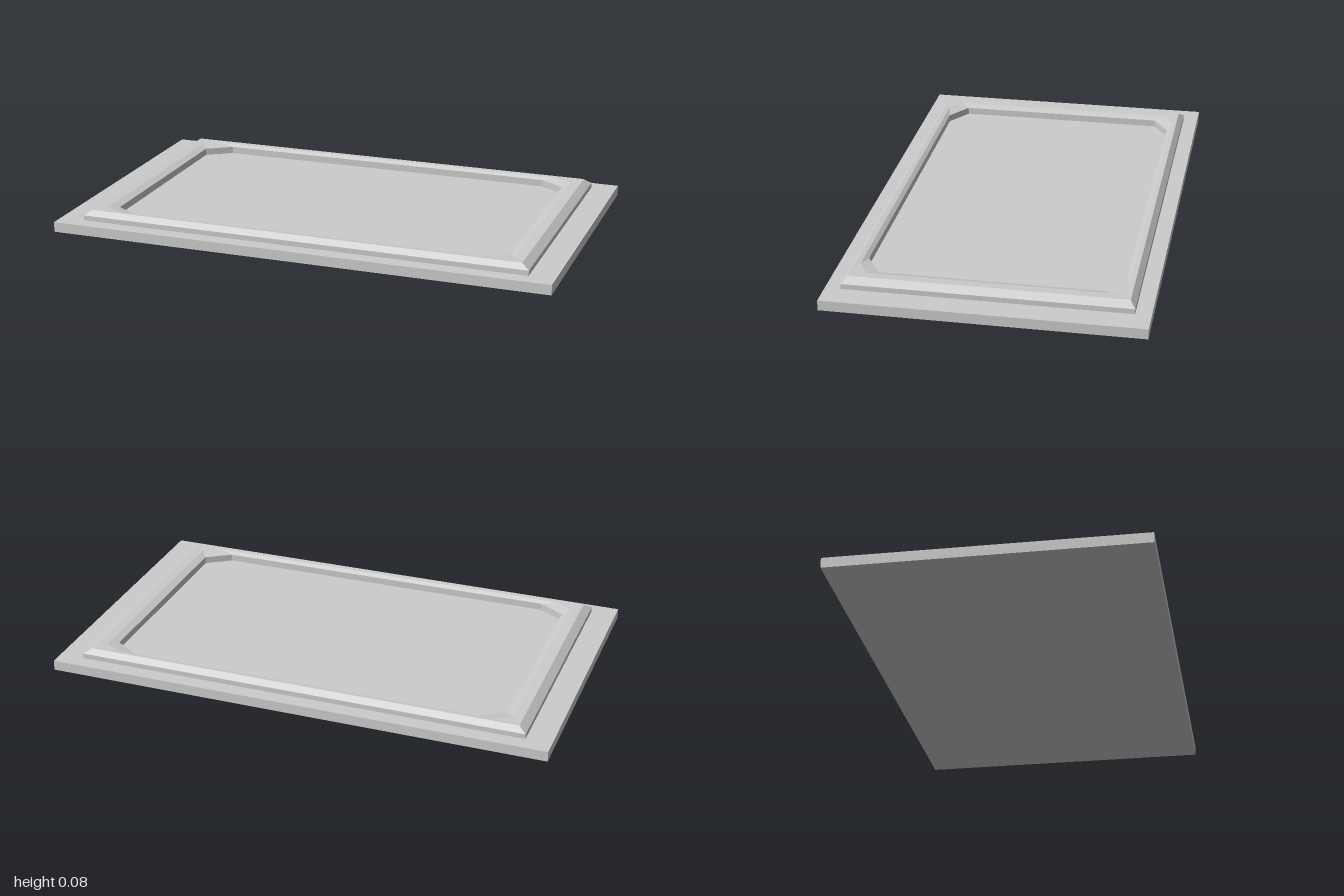
import * as THREE from 'three';

const material = new THREE.MeshStandardMaterial({ color: 0xcccccc, flatShading: true });

// Eight-point ring: half sizes X, Z; xc, zc mark where the corner cuts begin
function ring(y, X, Z, xc = X, zc = Z) {
  return [
    [X, zc], [xc, Z], [-xc, Z], [-X, zc],
    [-X, -zc], [-xc, -Z], [xc, -Z], [X, -zc],
  ].map(([x, z]) => new THREE.Vector3(x, y, z));
}

// Joins successive rings with quads, skipping collapsed triangles
function loft(rings) {
  const points = [];
  const tri = (a, b, c) => {
    if (a.equals(b) || b.equals(c) || a.equals(c)) return;
    points.push(a, b, c);
  };
  for (let r = 0; r < rings.length - 1; r++) {
    const o = rings[r], n = rings[r + 1];
    for (let i = 0; i < 8; i++) {
      const j = (i + 1) % 8;
      tri(o[i], n[i], n[j]);
      tri(o[i], n[j], o[j]);
    }
  }
  const geometry = new THREE.BufferGeometry().setFromPoints(points);
  geometry.computeVertexNormals();
  return geometry;
}

export function createModel() {
  const group = new THREE.Group();
  group.name = 'framedPanel';

  // Flat base slab, whose top is also the recessed floor
  const base = new THREE.Mesh(new THREE.BoxGeometry(2, 0.04, 1.2), material);
  base.name = 'baseSlab';
  base.position.y = 0.02;
  group.add(base);

  // Raised frame: outer wall, bevel, flat top, soft inner slope, recess wall
  const frame = new THREE.Mesh(loft([
    ring(0.04, 0.9, 0.54),
    ring(0.06, 0.9, 0.54),
    ring(0.08, 0.87, 0.52),
    ring(0.078, 0.83, 0.5, 0.76, 0.46),
    ring(0.068, 0.8, 0.485, 0.7, 0.42),
    ring(0.04, 0.8, 0.485, 0.7, 0.42),
  ]), material);
  frame.name = 'raisedFrame';
  group.add(frame);

  return group;
}
